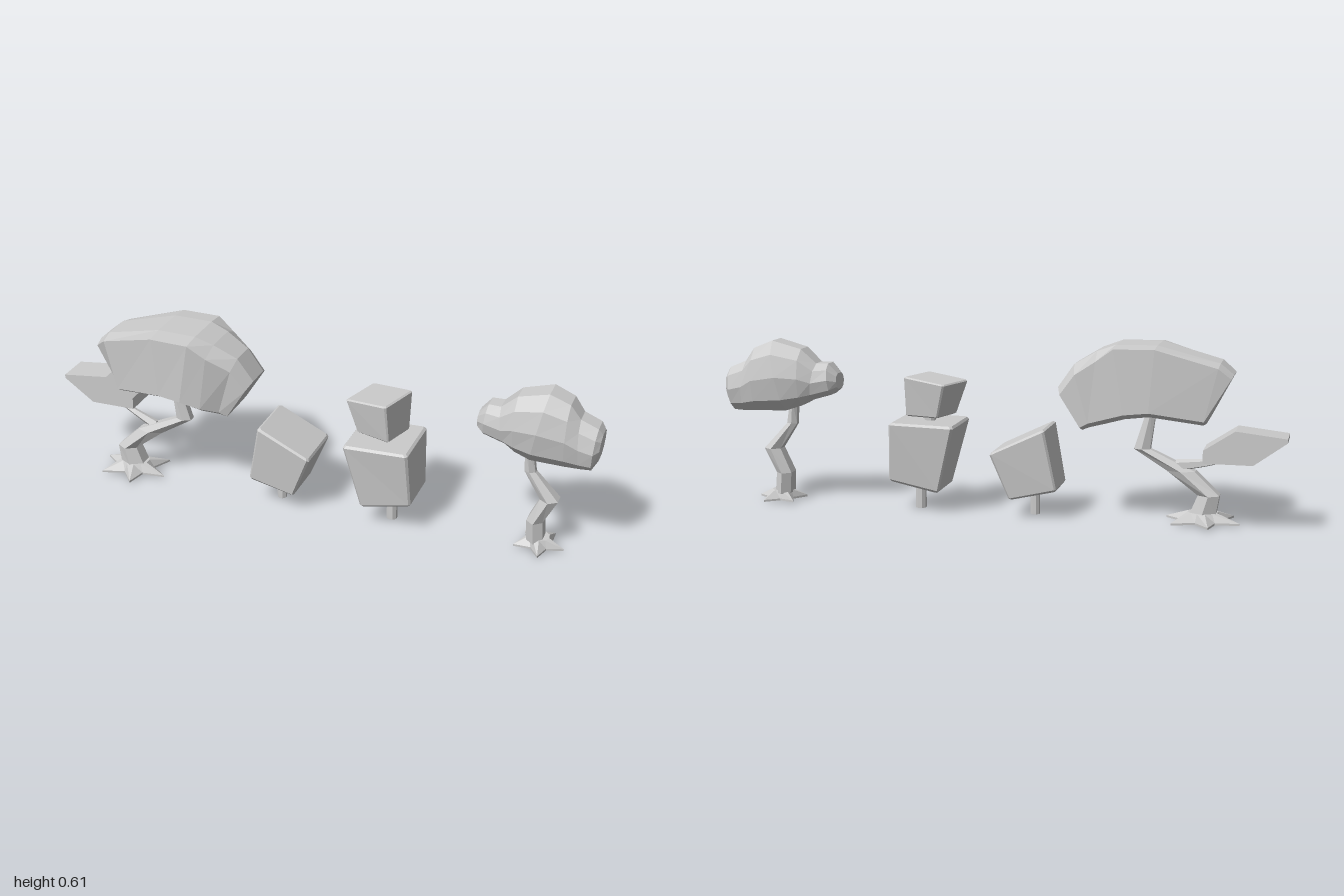
import * as THREE from 'three';

const material = new THREE.MeshStandardMaterial({ color: 0xcccccc, flatShading: true });
const V = (x, y, z) => new THREE.Vector3(x, y, z);

// Closed solid skinned over a list of rings with equal point counts
function loft(name, rings) {
  const tris = [];
  const n = rings[0].length;
  for (let i = 0; i < rings.length - 1; i++) {
    for (let j = 0; j < n; j++) {
      const k = (j + 1) % n, a = rings[i], b = rings[i + 1];
      tris.push([a[j], a[k], b[k]], [a[j], b[k], b[j]]);
    }
  }
  const cap = (ring, flip) => {
    const c = ring.reduce((s, p) => s.add(p), V(0, 0, 0)).divideScalar(n);
    ring.forEach((p, j) => {
      const q = ring[(j + 1) % n];
      tris.push(flip ? [c, q, p] : [c, p, q]);
    });
  };
  cap(rings[0], true);
  cap(rings[rings.length - 1], false);
  // turn the faces outward whichever way the rings run
  const volume = tris.reduce((s, [a, b, c]) => s + a.dot(b.clone().cross(c)), 0);
  const points = tris.flatMap(t => (volume < 0 ? [t[0], t[2], t[1]] : t));
  const geometry = new THREE.BufferGeometry().setFromPoints(points);
  geometry.computeVertexNormals();
  const mesh = new THREE.Mesh(geometry, material);
  mesh.name = name;
  return mesh;
}

// Horizontal rings: [x, y, z, radiusX, radiusZ]
const trunk = (name, stations, sides = 6) => loft(name, stations.map(([x, y, z, rx, rz]) =>
  Array.from({ length: sides }, (_, i) => {
    const a = ((i + 0.5) / sides) * Math.PI * 2;
    return V(x + rx * Math.cos(a), y, z + rz * Math.sin(a));
  })));

// Star of spreading roots that rises to the trunk
function roots(x, rx, rz, rTop, tips, turn) {
  const ring = (y, outer, inner) => Array.from({ length: tips * 2 }, (_, i) => {
    const a = turn + (i / (tips * 2)) * Math.PI * 2;
    const r = i % 2 ? inner : outer;
    return V(x + r * rx * Math.cos(a), y, r * rz * Math.sin(a));
  });
  return loft('roots', [ring(0.005, 1, 0.5), ring(0.012, 1, 0.5), ring(0.04, rTop / rx, rTop / rx)]);
}

// Tapered block with bevelled edges, from its front outline and half depths
function block(name, [tl, tr, br, bl], topDepth, bottomDepth, cz = 0) {
  const c = 0.07;
  const at = (u, v, t) => {
    const mix = THREE.MathUtils.lerp, s = (u + 1) / 2;
    const x = mix(mix(bl[0], br[0], s), mix(tl[0], tr[0], s), t);
    const y = mix(mix(bl[1], br[1], s), mix(tl[1], tr[1], s), t);
    return V(x, y, cz + v * mix(bottomDepth, topDepth, t));
  };
  const ring = (t, k) => {
    const e = 1 - c;
    return [[-e, -1], [e, -1], [1, -e], [1, e], [e, 1], [-e, 1], [-1, e], [-1, -e]]
      .map(([u, v]) => at(u * k, v * k, t));
  };
  return loft(name, [ring(0, 1 - c), ring(c / 2, 1), ring(1 - c / 2, 1), ring(1, 1 - c)]);
}

const post = (name, x, y0, y1, r) => trunk(name, [[x, y0, 0, r, r], [x, y1, 0, r, r]], 8);

function group(name, ...parts) {
  const g = new THREE.Group();
  g.name = name;
  return g.add(...parts);
}

function windsweptTree() {
  // sections: bottom x y, top x y, back z, front z, top rounding
  const crown = [
    [-0.73, 0.36, -0.815, 0.523, -0.11, 0.06, 0.06],
    [-0.72, 0.355, -0.77, 0.56, -0.12, 0.09, 0.06],
    [-0.54, 0.378, -0.56, 0.614, -0.14, 0.135, 0.03],
    [-0.46, 0.368, -0.42, 0.612, -0.14, 0.14, 0.03],
    [-0.39, 0.347, -0.355, 0.588, -0.125, 0.125, 0.12],
    [-0.335, 0.33, -0.275, 0.54, -0.1, 0.09, 0.15],
    [-0.31, 0.32, -0.22, 0.46, -0.1, 0.08, 0.15],
  ].map(([xb, yb, xt, yt, z0, z1, r]) =>
    [[-0.8, 0], [0.8, 0], [1, 0.07], [1, 1 - r], [0.5, 1], [-0.5, 1], [-1, 1 - r], [-1, 0.07]]
      .map(([s, t]) => V(xb + (xt - xb) * t, yb + (yt - yb) * t, (z0 + z1) / 2 + s * (z1 - z0) / 2)));

  // side branch with rings facing along x
  const branch = [[-0.62, 0.195, 0, 0.022], [-0.72, 0.215, -0.035, 0.014], [-0.86, 0.255, -0.08, 0.009]]
    .map(([x, y, z, r]) => Array.from({ length: 5 }, (_, i) =>
      V(x, y + r * Math.sin(i * Math.PI * 0.4), z + r * Math.cos(i * Math.PI * 0.4))));

  // slab-shaped tuft of leaves
  const outline = [[-1, 0.328], [-0.83, 0.347], [-0.725, 0.278], [-0.725, 0.235], [-0.89, 0.235], [-1, 0.315]];
  const tuft = [-0.14, -0.02].map(z => outline.map(([x, y]) => V(x, y, z)));

  return group('windsweptTree',
    loft('crown', crown),
    trunk('trunk', [
      [-0.715, 0.03, 0, 0.052, 0.05], [-0.735, 0.1, 0, 0.042, 0.045], [-0.64, 0.18, 0, 0.055, 0.038],
      [-0.505, 0.25, 0, 0.032, 0.028], [-0.535, 0.385, 0, 0.018, 0.02]]),
    roots(-0.715, 0.135, 0.12, 0.052, 6, 0.3),
    loft('branch', branch),
    loft('tuft', tuft));
}

function leaningBlockTree() {
  return group('leaningBlockTree',
    block('crown', [[-0.18, 0.318], [0.012, 0.225], [-0.055, 0.062], [-0.222, 0.1]], 0.106, 0.088),
    post('trunk', -0.13, 0, 0.09, 0.017));
}

function stackedBlockTree() {
  const upper = block('upperCrown',
    [[-0.093, 0.458], [0.073, 0.477], [0.076, 0.335], [-0.054, 0.337]], 0.083, 0.065);
  upper.position.set(0.235, 0, -0.005);
  upper.rotation.y = -0.288;
  return group('stackedBlockTree',
    block('lowerCrown', [[0.135, 0.315], [0.368, 0.32], [0.378, 0.11], [0.197, 0.072]], 0.118, 0.092),
    upper,
    post('neck', 0.25, 0.3, 0.35, 0.02),
    post('trunk', 0.285, 0, 0.11, 0.019));
}

function roundTree() {
  // sections: bottom x y, top x y, half depth
  const crown = [
    [0.577, 0.42, 0.58, 0.475, 0.042], [0.6, 0.4, 0.612, 0.51, 0.067],
    [0.675, 0.378, 0.655, 0.51, 0.073], [0.71, 0.358, 0.71, 0.56, 0.09],
    [0.765, 0.34, 0.815, 0.588, 0.102], [0.88, 0.335, 0.885, 0.56, 0.092],
    [0.93, 0.333, 0.92, 0.512, 0.08], [0.968, 0.335, 0.98, 0.487, 0.077],
    [0.988, 0.37, 0.995, 0.465, 0.055],
  ].map(([xb, yb, xt, yt, d]) =>
    [[-0.45, 0], [0.45, 0], [0.85, 0.17], [1, 0.5], [0.85, 0.82], [0.4, 1],
      [-0.4, 1], [-0.85, 0.82], [-1, 0.5], [-0.85, 0.17]]
      .map(([s, t]) => V(xb + (xt - xb) * t, yb + (yt - yb) * t, -0.015 + s * d)));

  return group('roundTree',
    loft('crown', crown),
    trunk('trunk', [
      [0.8, 0.03, 0, 0.033, 0.05], [0.795, 0.105, 0, 0.032, 0.048], [0.838, 0.192, 0, 0.035, 0.042],
      [0.765, 0.285, 0, 0.022, 0.02], [0.757, 0.37, 0, 0.015, 0.024]]),
    roots(0.812, 0.09, 0.09, 0.036, 5, 0.15));
}

export function createModel() {
  return group('stylisedTrees', windsweptTree(), leaningBlockTree(), stackedBlockTree(), roundTree());
}
